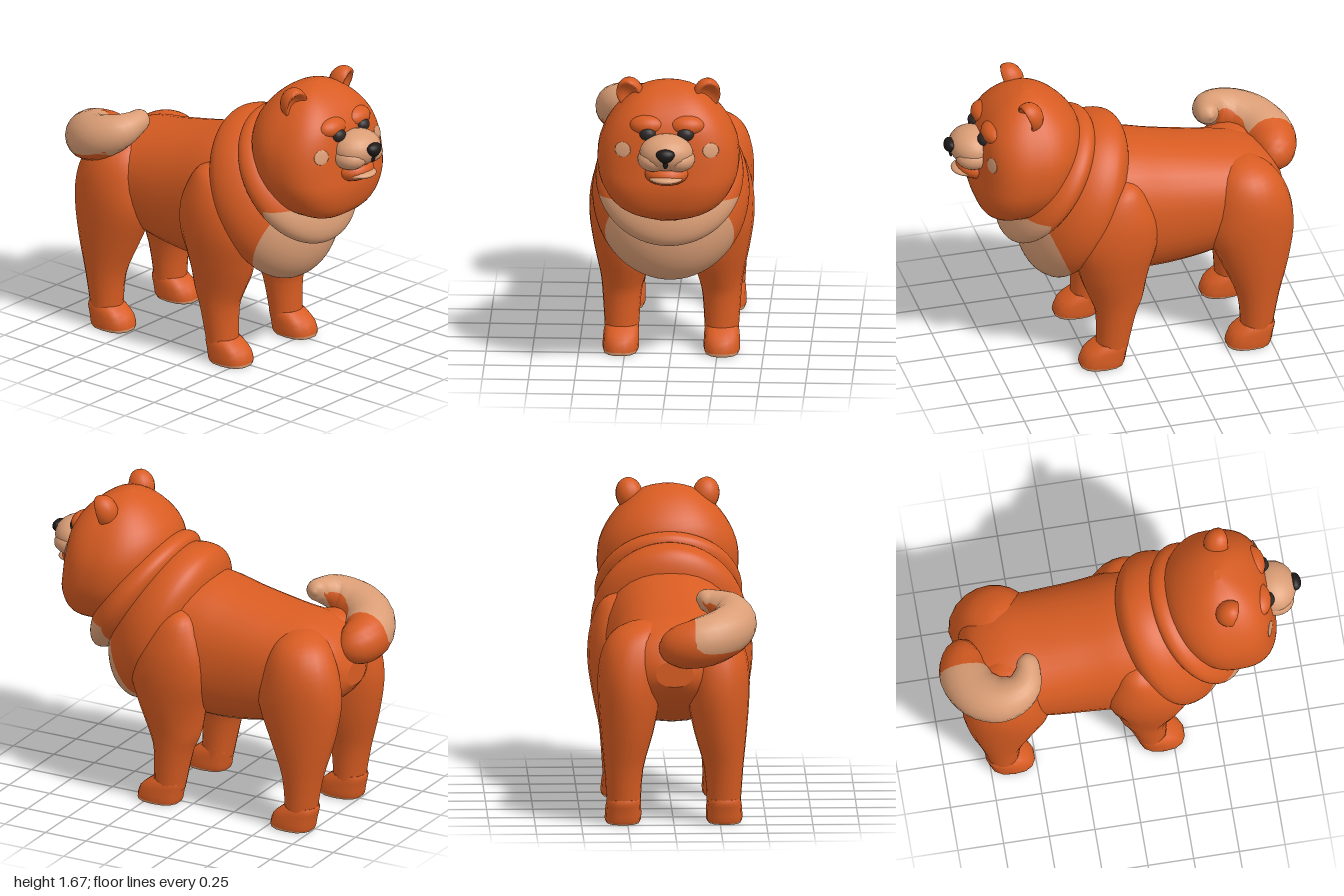
import * as THREE from 'three';
import { mergeVertices } from 'three/addons/utils/BufferGeometryUtils.js';

const mat = (name, color) => {
  const m = new THREE.MeshStandardMaterial({ color });
  m.name = name;
  return m;
};

// Catmull-Rom refinement of profile rows, k steps per span
function refine(rows, k) {
  const out = [];
  for (let i = 0; i < rows.length - 1; i++) {
    const a = rows[Math.max(i - 1, 0)], b = rows[i], c = rows[i + 1], d = rows[Math.min(i + 2, rows.length - 1)];
    for (let s = 0; s < k; s++) {
      const t = s / k;
      out.push(b.map((v, j) => v + 0.5 * t * (c[j] - a[j] + t * (2 * a[j] - 5 * v + 4 * c[j] - d[j] + t * (3 * (v - c[j]) + d[j] - a[j])))));
    }
  }
  out.push(rows[rows.length - 1]);
  return out;
}

// Closed skin through rings of n points each, capped at both ends
function skin(rings) {
  const n = rings[0].length, pos = [], idx = [];
  rings.forEach((r) => r.forEach((p) => pos.push(p.x, p.y, p.z)));
  for (let i = 0; i < rings.length - 1; i++) {
    for (let j = 0; j < n; j++) {
      const a = i * n + j, b = i * n + (j + 1) % n;
      idx.push(a, b, b + n, a, b + n, a + n);
    }
  }
  [[0, -1], [rings.length - 1, 1]].forEach(([r, dir]) => {
    const c = new THREE.Vector3();
    const start = pos.length / 3;
    rings[r].forEach((p) => { c.addScaledVector(p, 1 / n); pos.push(p.x, p.y, p.z); });
    pos.push(c.x, c.y, c.z);
    for (let j = 0; j < n; j++) {
      const a = start + j, b = start + (j + 1) % n;
      idx.push(start + n, dir > 0 ? a : b, dir > 0 ? b : a);
    }
  });
  const g = new THREE.BufferGeometry();
  g.setAttribute('position', new THREE.Float32BufferAttribute(pos, 3));
  g.setIndex(idx);
  g.computeVertexNormals();
  return g;
}

// Loft of rounded sections: rows are [axis position, x0, x1, other0, other1];
// e and eFront set how square the back and front halves are
function loft(rows, axis, n, k = 3, e = 2, eFront = e) {
  return skin(refine(rows, k).map(([h, x0, x1, q0, q1]) => Array.from({ length: n }, (_, j) => {
    const a = (j / n) * Math.PI * 2;
    const pw = (v) => Math.sign(v) * Math.abs(v) ** (2 / (Math.sin(a) < 0 ? eFront : e));
    const x = (x0 + x1) / 2 + pw(Math.cos(a)) * (x1 - x0) / 2;
    const q = (q0 + q1) / 2, r = pw(Math.sin(a)) * (q1 - q0) / 2;
    return axis === 'y' ? new THREE.Vector3(x, h, q - r) : new THREE.Vector3(x, q + r, h);
  })));
}

// Cut the faces where field(point, normal) = 0; the positive side takes material 1
function paint(g, field) {
  const P = g.attributes.position, N = g.attributes.normal, ix = g.index.array;
  const sets = [[], []];
  const at = (i) => {
    const p = new THREE.Vector3().fromBufferAttribute(P, i), n = new THREE.Vector3().fromBufferAttribute(N, i);
    return { p, n, f: field(p, n) };
  };
  for (let i = 0; i < ix.length; i += 3) {
    const tri = [at(ix[i]), at(ix[i + 1]), at(ix[i + 2])];
    sets.forEach((set, s) => {
      const poly = [];
      tri.forEach((a, k) => {
        const b = tri[(k + 1) % 3];
        if ((a.f > 0) === (s === 1)) poly.push(a);
        if ((a.f > 0) !== (b.f > 0)) {
          const t = a.f / (a.f - b.f);
          poly.push({ p: a.p.clone().lerp(b.p, t), n: a.n.clone().lerp(b.n, t).normalize() });
        }
      });
      for (let k = 1; k < poly.length - 1; k++) set.push(poly[0], poly[k], poly[k + 1]);
    });
  }
  const all = [...sets[0], ...sets[1]];
  const out = new THREE.BufferGeometry();
  out.setAttribute('position', new THREE.Float32BufferAttribute(all.flatMap((v) => v.p.toArray()), 3));
  out.setAttribute('normal', new THREE.Float32BufferAttribute(all.flatMap((v) => v.n.toArray()), 3));
  out.addGroup(0, sets[0].length, 0);
  out.addGroup(sets[0].length, sets[1].length, 1);
  return out;
}

// Ellipsoid with an optional rule that moves its unit vertices
function blob(rx, ry, rz, seg = 20, rule) {
  let g = new THREE.SphereGeometry(1, seg, Math.round(seg * 0.7));
  g.deleteAttribute('uv');
  g.deleteAttribute('normal');
  g = mergeVertices(g, 1e-4);
  const p = g.attributes.position, v = new THREE.Vector3();
  for (let i = 0; i < p.count; i++) {
    v.fromBufferAttribute(p, i);
    if (rule) rule(v);
    p.setXYZ(i, v.x * rx, v.y * ry, v.z * rz);
  }
  g.computeVertexNormals();
  return g;
}

export function createModel() {
  const root = new THREE.Group();
  root.name = 'dog';
  const orange = mat('orangeFur', 0xd85c22);
  const cream = mat('creamFur', 0xdb9e76);
  const fur = [orange, cream];
  const dark = mat('darkEyes', 0x2e2726);
  const black = mat('blackNose', 0x1d1818);
  const add = (name, geo, material, x = 0, y = 0, z = 0) => {
    const m = new THREE.Mesh(geo, material);
    m.name = name;
    m.position.set(x, y, z);
    root.add(m);
    return m;
  };

  // Torso with a pale belly
  const torso = loft([
    [-0.87, -0.1, 0.1, 0.78, 0.92], [-0.8, -0.25, 0.25, 0.7, 1.04], [-0.65, -0.32, 0.32, 0.61, 1.12],
    [-0.45, -0.335, 0.335, 0.52, 1.155], [-0.2, -0.345, 0.345, 0.475, 1.205], [0, -0.36, 0.36, 0.475, 1.25],
    [0.2, -0.36, 0.36, 0.49, 1.25], [0.35, -0.25, 0.25, 0.6, 1.15]], 'z', 32, 4, 2.25);
  add('torso', paint(torso, (p) => Math.min(0.528 - p.y, p.z + 0.52)), fur);

  // Two tilted neck ruffs, pale at the throat
  const ruff = (name, r, back, front, tilt, y, z, field) => {
    const g = blob(r[0], r[1], 1, 56, (v) => { v.z *= v.z > 0 ? front : back; });
    g.rotateX(-tilt).translate(0, y, z);
    add(name, paint(g, field), fur);
  };
  ruff('chestRuff', [0.425, 0.487], 0.19, 0.3, 0.42, 0.928, 0.252,
    (p) => Math.min(0.925 - p.y, p.z - 0.31 - 0.43 * (p.y - 0.47)));
  ruff('neckRuff', [0.4, 0.41], 0.13, 0.16, 0.6, 1.08, 0.43, (p) => Math.min(0.98 - p.y, p.z - 0.5));

  // Head, flatter across the face than at the back
  const head = add('head', loft([
    [0.895, -0.06, 0.06, 0.6, 0.7], [0.94, -0.2, 0.2, 0.5, 0.79], [1.0, -0.295, 0.295, 0.41, 0.83],
    [1.1, -0.36, 0.36, 0.33, 0.85], [1.2, -0.383, 0.383, 0.28, 0.84], [1.33, -0.372, 0.372, 0.25, 0.825],
    [1.45, -0.315, 0.315, 0.27, 0.8], [1.55, -0.23, 0.23, 0.35, 0.73], [1.615, -0.135, 0.135, 0.44, 0.64],
    [1.643, -0.03, 0.03, 0.52, 0.56]], 'y', 44, 3, 2.1, 2.8), orange);

  // Muzzle, jaw and nose
  add('muzzle', blob(0.145, 0.1, 0.125), cream, 0, 1.328, 0.845);
  add('jaw', blob(0.12, 0.065, 0.11), orange, 0, 1.203, 0.82);
  add('chin', blob(0.092, 0.025, 0.09), cream, 0, 1.19, 0.868);
  add('nose', blob(0.058, 0.038, 0.035, 16, (v) => { v.x *= 0.85 + 0.25 * v.y; }), black, 0, 1.342, 0.965);
  add('noseCleft', blob(0.014, 0.03, 0.012, 10), black, 0, 1.3, 0.96);

  const ray = new THREE.Raycaster();
  for (const s of [-1, 1]) {
    const side = s > 0 ? 'left' : 'right';
    add(side + 'Jowl', blob(0.088, 0.066, 0.1), cream, s * 0.068, 1.292, 0.85);
    add(side + 'Eye', blob(0.046, 0.038, 0.04, 16), dark, s * 0.102, 1.417, 0.798);
    add(side + 'Brow', blob(0.1, 0.058, 0.07), orange, s * 0.105, 1.452, 0.748);

    // Cheek spot laid on the head surface
    ray.set(new THREE.Vector3(s * 0.238, 1.325, 2), new THREE.Vector3(0, 0, -1));
    const hit = ray.intersectObject(head)[0];
    const spot = add(side + 'CheekSpot', blob(0.046, 0.041, 0.005, 16), cream);
    spot.position.copy(hit.point);
    spot.lookAt(hit.point.clone().add(hit.face.normal));

    // Ear, hollowed at the front
    const ear = add(side + 'Ear', blob(0.073, 0.09, 0.075, 18, (v) => {
      if (v.z > 0) v.z = 0.45 * Math.sin(v.z * Math.PI) - 0.1 * v.z;
    }), orange, s * 0.208, 1.58, 0.575);
    ear.rotation.set(0.3, s * 0.25, -s * 0.15);

    // Legs: outline rows are mirrored for each side
    const mirror = (rows) => rows.map(([y, a, b, c, d]) => [y, s > 0 ? a : -b, s > 0 ? b : -a, c, d]);
    add(side + 'FrontLeg', loft(mirror([
      [0.08, 0.18, 0.36, 0.05, 0.22], [0.3, 0.165, 0.375, 0, 0.22], [0.4, 0.14, 0.385, -0.04, 0.25],
      [0.5, 0.11, 0.405, -0.06, 0.29], [0.6, 0.12, 0.425, -0.08, 0.32], [0.75, 0.15, 0.446, -0.115, 0.35],
      [0.9, 0.18, 0.44, -0.105, 0.31], [1.03, 0.19, 0.405, -0.055, 0.22], [1.1, 0.2, 0.36, -0.01, 0.14],
      [1.13, 0.24, 0.29, 0.05, 0.09]]), 'y', 18), orange);
    add(side + 'HindLeg', loft(mirror([
      [0.08, 0.18, 0.36, -0.76, -0.59], [0.3, 0.165, 0.375, -0.8, -0.57], [0.5, 0.11, 0.395, -0.855, -0.49],
      [0.7, 0.07, 0.41, -0.89, -0.41], [0.85, 0.06, 0.408, -0.88, -0.43], [0.97, 0.06, 0.38, -0.84, -0.46],
      [1.05, 0.06, 0.325, -0.78, -0.5], [1.095, 0.09, 0.24, -0.7, -0.56], [1.105, 0.14, 0.18, -0.65, -0.61]]), 'y', 20), orange);

    // Paws with pale soles
    [['Front', 0], ['Hind', -0.82]].forEach(([end, z]) => {
      const paw = loft(mirror([
        [0, 0.185, 0.365, 0.075, 0.31], [0.02, 0.175, 0.372, 0.065, 0.317], [0.075, 0.175, 0.37, 0.055, 0.3],
        [0.115, 0.178, 0.365, 0.045, 0.255], [0.138, 0.185, 0.355, 0.05, 0.22]]), 'y', 14, 2, 2.5);
      add(side + end + 'Paw', paint(paw, (p) => 0.012 + 0.05 * (p.z - 0.19) - p.y), fur, 0, 0, z);
    });
  }

  // Curled tail: rows are x, y, z, radius
  const tailRows = refine([
    [0.035, 0.96, -0.8, 0.05], [-0.01, 0.99, -0.845, 0.11], [-0.13, 1.02, -0.865, 0.135], [-0.26, 1.06, -0.805, 0.135],
    [-0.325, 1.1, -0.69, 0.125], [-0.3, 1.15, -0.575, 0.1], [-0.215, 1.185, -0.53, 0.07],
    [-0.155, 1.2, -0.53, 0.052], [-0.125, 1.2, -0.535, 0.008]], 4);
  const path = new THREE.CatmullRomCurve3(tailRows.map((r) => new THREE.Vector3(r[0], r[1], r[2])));
  const rings = tailRows.map((r, i) => {
    const T = path.getTangent(i / (tailRows.length - 1));
    const N = new THREE.Vector3(0, 1, 0).addScaledVector(T, -T.y).normalize();
    const B = T.clone().cross(N);
    return Array.from({ length: 20 }, (_, j) => {
      const a = (j / 20) * Math.PI * 2;
      return new THREE.Vector3(r[0], r[1], r[2])
        .addScaledVector(N, Math.cos(a) * r[3]).addScaledVector(B, Math.sin(a) * r[3]);
    });
  });
  const paleSide = new THREE.Vector3(-0.5, 0.8, -0.1).normalize();
  add('tail', paint(skin(rings), (p, n) =>
    Math.min(-0.11 - p.x, 0.13 * Math.max(n.dot(paleSide) + 0.05, 8 * (p.z + 0.58)))), fur);

  return root;
}
